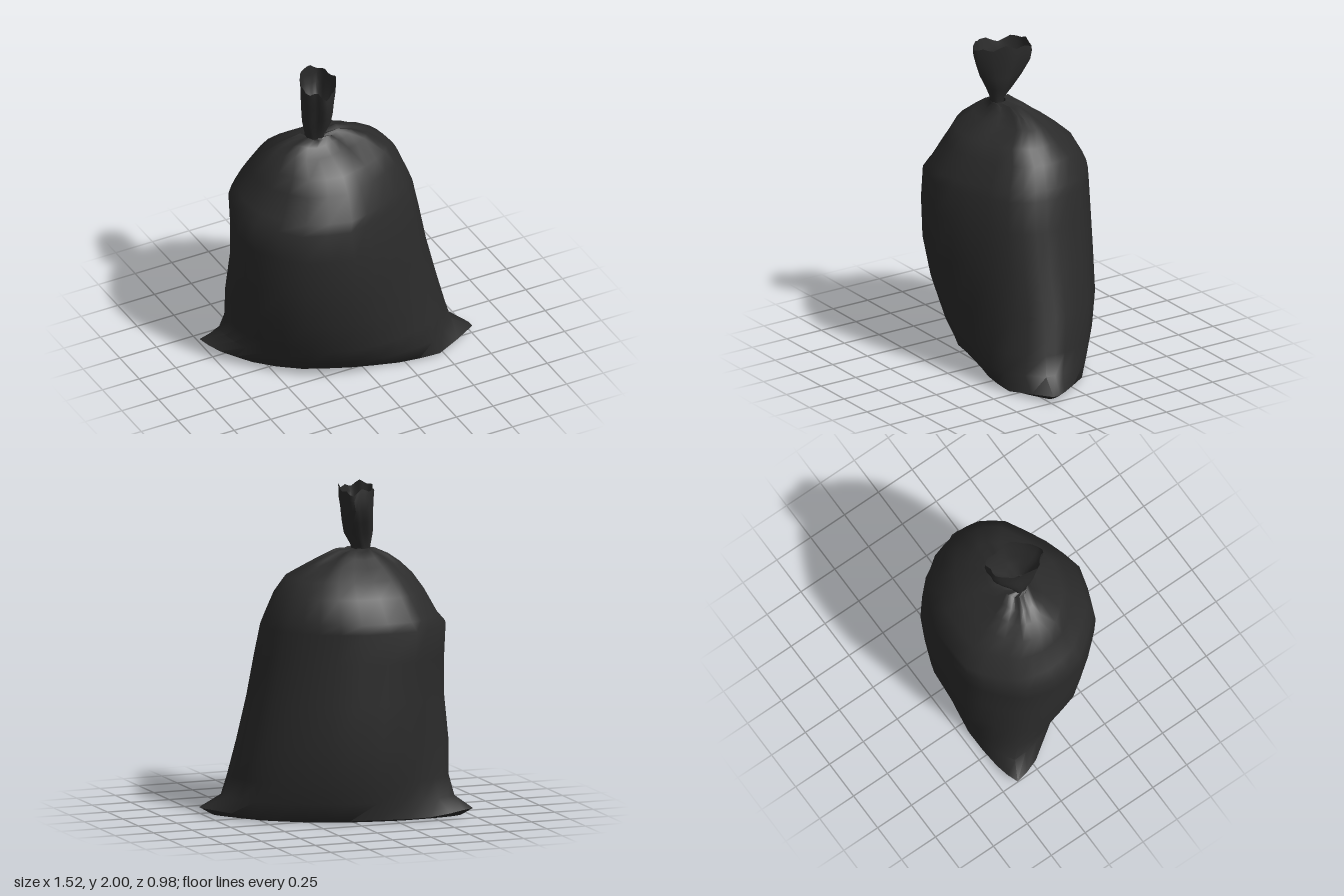
import * as THREE from 'three';
import { toCreasedNormals } from 'three/addons/utils/BufferGeometryUtils.js';

const N = 28; // points around each ring

// Closed, nearly straight-sided outline through [x, z] points
function outline(points) {
  const curve = new THREE.CatmullRomCurve3(points.map(([x, z]) => new THREE.Vector3(x, 0, z)), true, 'catmullrom', 0.22);
  return Array.from({ length: N }, (_, j) => curve.getPoint(j / N));
}

// Skin a stack of rings; optionally close the first ring with a fan
function loft(rings, capStart) {
  const pos = [], index = [];
  rings.forEach(ring => ring.forEach(p => pos.push(p.x, p.y, p.z)));
  for (let i = 0; i < rings.length - 1; i++) {
    for (let j = 0; j < N; j++) {
      const k = (j + 1) % N;
      const a = i * N + j, b = i * N + k, c = a + N, d = b + N;
      index.push(a, c, b, b, c, d);
    }
  }
  if (capStart) {
    const mid = rings[0].reduce((s, p) => s.add(p), new THREE.Vector3()).divideScalar(N);
    pos.push(mid.x, mid.y, mid.z);
    for (let j = 0; j < N; j++) index.push(rings.length * N, j, (j + 1) % N);
  }
  const geo = new THREE.BufferGeometry();
  geo.setAttribute('position', new THREE.Float32BufferAttribute(pos, 3));
  geo.setIndex(index);
  return toCreasedNormals(geo, 0.95);
}

// Fit a ring into the given x and z limits at height y
function fit(ring, y, x0, x1, z0, z1) {
  const { min, max } = new THREE.Box3().setFromPoints(ring);
  return ring.map(p => new THREE.Vector3(
    THREE.MathUtils.mapLinear(p.x, min.x, max.x, x0, x1), y,
    THREE.MathUtils.mapLinear(p.z, min.z, max.z, z0, z1)));
}

function bodyGeometry() {
  // Slanted base with two opposite pointed corners
  const base = outline([[0.76, 0.24], [0.47, 0.37], [0.2, 0.34], [-0.08, 0.25], [-0.34, 0.13], [-0.58, -0.06], [-0.71, -0.23],
    [-0.76, -0.4], [-0.6, -0.44], [-0.32, -0.45], [0.03, -0.39], [0.31, -0.27], [0.54, -0.11], [0.73, 0.14]]);
  // Pinched ring just above the corners
  const hem = outline([[0.63, 0.2], [0.42, 0.37], [0.17, 0.39], [-0.1, 0.35], [-0.36, 0.22], [-0.56, 0], [-0.64, -0.18],
    [-0.66, -0.35], [-0.53, -0.42], [-0.3, -0.45], [0.03, -0.42], [0.32, -0.3], [0.54, -0.13], [0.63, 0.08]]);
  // Full, rounded belly
  const belly = outline([[0.46, 0.15], [0.36, 0.29], [0.1, 0.42], [-0.16, 0.49], [-0.46, 0.39], [-0.66, 0.14], [-0.69, -0.07],
    [-0.64, -0.25], [-0.52, -0.38], [-0.35, -0.49], [0.01, -0.49], [0.27, -0.37], [0.43, -0.2], [0.48, 0]]);
  // y, x limits, z limits, starting outline, blend towards belly, pleat depth
  const levels = [
    [0.0, -0.69, 0.69, -0.42, 0.34, base, 0, 0],
    [0.012, -0.76, 0.76, -0.45, 0.37, base, 0, 0],
    [0.12, -0.66, 0.64, -0.45, 0.4, hem, 0, 0],
    [0.24, -0.645, 0.61, -0.465, 0.415, hem, 0.35, 0],
    [0.46, -0.68, 0.565, -0.483, 0.45, hem, 0.72, 0],
    [0.72, -0.68, 0.505, -0.485, 0.49, hem, 0.94, 0],
    [0.97, -0.685, 0.46, -0.487, 0.488, hem, 1, 0],
    [1.16, -0.69, 0.425, -0.49, 0.465, hem, 1, 0],
    [1.22, -0.635, 0.405, -0.485, 0.44, hem, 1, 0],
    [1.36, -0.56, 0.35, -0.4, 0.355, hem, 1, 0],
    [1.45, -0.5, 0.28, -0.3, 0.29, hem, 1, 0.003],
    [1.52, -0.42, 0.17, -0.21, 0.15, hem, 1, 0.007],
    [1.565, -0.35, 0.07, -0.14, 0.09, hem, 1, 0.01],
    [1.6, -0.27, -0.03, -0.09, 0.07, hem, 1, 0.01],
    [1.605, -0.25, -0.14, -0.035, 0.06, hem, 1, 0.002],
  ];
  const rings = levels.map(([y, x0, x1, z0, z1, start, t, pleat], i) => {
    const ring = fit(start.map((p, j) => p.clone().lerp(belly[j], t)), y, x0, x1, z0, z1);
    ring.forEach((p, j) => {
      p.y += pleat * Math.sin(j / N * Math.PI * 14);
      // Base corners curl up off the ground
      if (i === 1) p.y += 0.03 * THREE.MathUtils.smoothstep(Math.abs(p.x), 0.45, 0.76);
    });
    return ring;
  });
  return loft(rings, true);
}

// Gathered, open mouth above the tie, with soft folds and a ragged rim
function mouthGeometry() {
  // y, centre x, centre z, half width x, half width z, fold depth, slant
  const levels = [
    [1.585, -0.195, 0.014, 0.05, 0.046, 0.03, 0.5],
    [1.62, -0.195, 0.016, 0.054, 0.052, 0.04, 0.4],
    [1.7, -0.178, 0.016, 0.084, 0.086, 0.05, 0.1],
    [1.78, -0.172, 0.012, 0.096, 0.13, 0.06, -0.1],
    [1.86, -0.168, 0.004, 0.105, 0.163, 0.06, -0.25],
    [1.92, -0.168, 0.008, 0.115, 0.172, 0.06, -0.3],
    [1.955, -0.17, 0.01, 0.12, 0.17, 0.06, -0.3],
  ];
  const rings = levels.map(([y, cx, cz, rx, rz, fold, slant], i) => {
    const ring = Array.from({ length: N }, (_, j) => {
      const a = j / N * Math.PI * 2;
      const r = 1 + fold * (Math.sin(5 * a + 0.4) + 0.6 * Math.sin(7 * a + 2));
      const z = Math.sin(a) * r;
      return new THREE.Vector3(Math.cos(a) * r + slant * z, 0, z);
    });
    const fitted = fit(ring, y, cx - rx, cx + rx, cz - rz, cz + rz);
    if (i === levels.length - 1) {
      fitted.forEach((p, j) => {
        const a = j / N * Math.PI * 2;
        p.y += 0.014 * Math.sin(3 * a + 1) + 0.012 * Math.sin(7 * a);
      });
      // Let the highest tip reach the full height
      const lift = 2 - Math.max(...fitted.map(p => p.y));
      fitted.forEach(p => { p.y += lift; });
    }
    return fitted;
  });
  return loft(rings, false);
}

export function createModel() {
  const group = new THREE.Group();
  group.name = 'tiedBag';
  const plastic = new THREE.MeshStandardMaterial({ color: 0x2b2b2b, side: THREE.DoubleSide });
  const add = (name, geometry) => {
    const mesh = new THREE.Mesh(geometry, plastic);
    mesh.name = name;
    group.add(mesh);
  };
  add('bagBody', bodyGeometry());
  add('gatheredMouth', mouthGeometry());
  return group;
}
